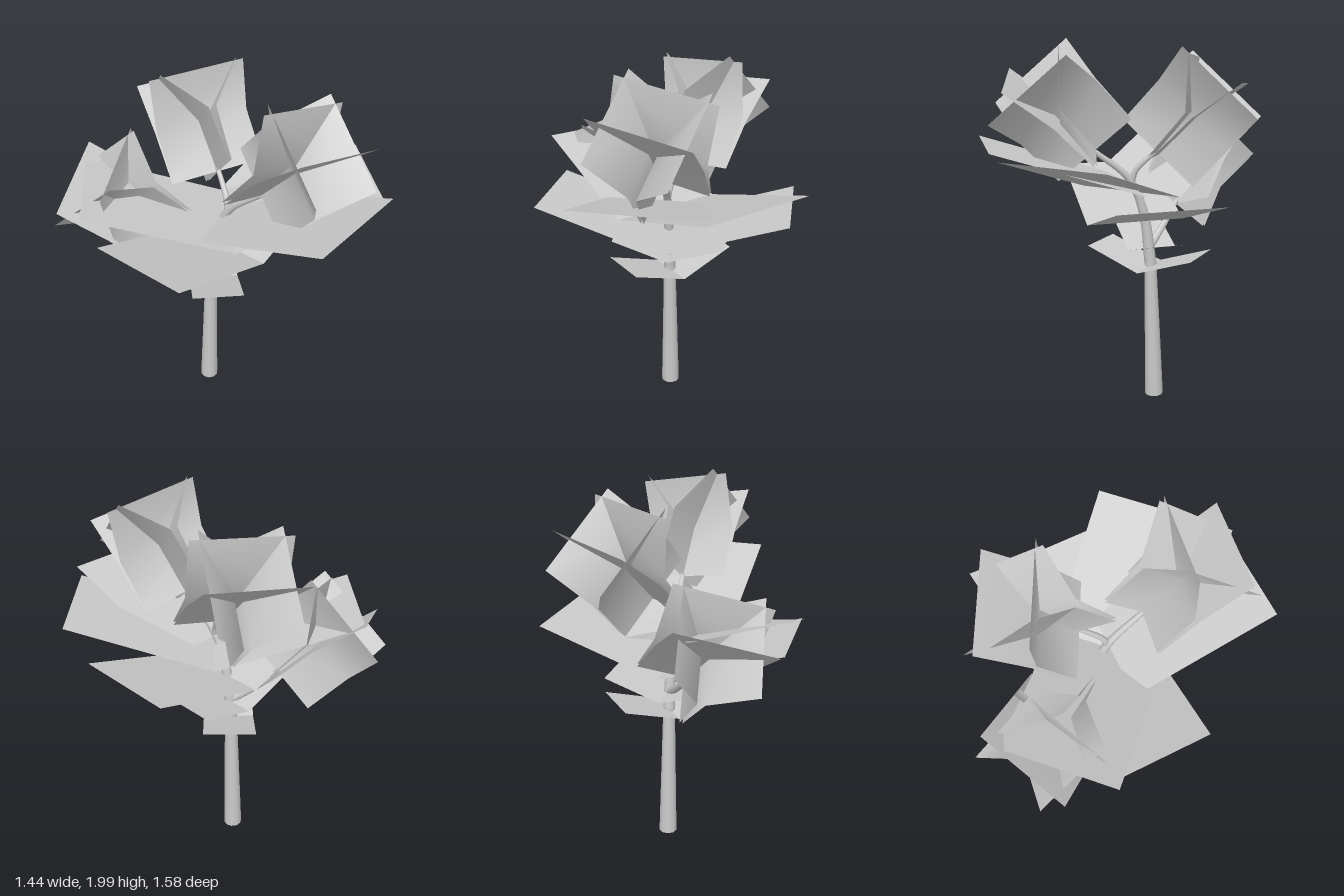
import * as THREE from 'three';

const V = (x, y, z) => new THREE.Vector3(x, y, z);
const mat = new THREE.MeshStandardMaterial({ color: 0xcccccc, side: THREE.DoubleSide });

function addMesh(parent, name, geometry) {
  const mesh = new THREE.Mesh(geometry, mat);
  mesh.name = name;
  parent.add(mesh);
  return mesh;
}

// Tube along a curve whose radius shrinks from r0 to r1
function taperedTube(points, r0, r1, segments = 20, sides = 10) {
  const curve = new THREE.CatmullRomCurve3(points);
  const geo = new THREE.TubeGeometry(curve, segments, 1, sides);
  const pos = geo.attributes.position;
  const p = V();
  for (let i = 0; i <= segments; i++) {
    const t = i / segments;
    const centre = curve.getPointAt(t);
    for (let j = 0; j <= sides; j++) {
      const k = i * (sides + 1) + j;
      p.fromBufferAttribute(pos, k).sub(centre);
      p.multiplyScalar(r0 + (r1 - r0) * t).add(centre);
      pos.setXYZ(k, p.x, p.y, p.z);
    }
  }
  return geo;
}

// Flat leaf card running outward along +x from the stem and rising to its tip
function leafCard(length, width, rise) {
  const geo = new THREE.PlaneGeometry(length, width);
  geo.rotateX(-Math.PI / 2).translate(length / 2, 0, 0);
  const pos = geo.attributes.position;
  for (let i = 0; i < pos.count; i++) pos.setY(i, rise * pos.getX(i) / length);
  geo.computeVertexNormals();
  return geo;
}

// Petal card: straight lower half, upper half bent outward along +z by "out"
function petalCard(width, length, out) {
  const geo = new THREE.PlaneGeometry(width, length, 1, 2);
  const pos = geo.attributes.position;
  const tip = Math.sqrt((length / 2) ** 2 - out ** 2) + 0.02;
  for (let i = 0; i < pos.count; i++) {
    const y = pos.getY(i);
    if (y > 0.01) {
      pos.setY(i, tip);
      pos.setZ(i, out);
    } else pos.setZ(i, y < -0.01 ? 0.008 : 0.02);
  }
  geo.computeVertexNormals();
  return geo;
}

// Four petals around an axis, the first one more closed than the others;
// side sets the direction of that petal's width
function flower(centre, axis, side) {
  const group = new THREE.Group();
  const y = axis.clone().normalize();
  const x = side.clone().addScaledVector(y, -side.dot(y)).normalize();
  const z = V().crossVectors(x, y);
  group.quaternion.setFromRotationMatrix(new THREE.Matrix4().makeBasis(x, y, z));
  group.position.copy(centre);
  [0.08, 0.2, 0.2, 0.2].forEach((out, i) => {
    addMesh(group, 'petal', petalCard(0.5, 0.55, out)).rotation.y = i * Math.PI / 2;
  });
  return group;
}

export function createModel() {
  const model = new THREE.Group();
  model.name = 'floweringPlant';

  // Stem leaning forward, with two side branches
  addMesh(model, 'stem', taperedTube([V(-0.013, 0, -0.085), V(-0.013, 0.4, -0.073),
    V(-0.013, 0.8, -0.06)], 0.052, 0.033));
  addMesh(model, 'upperStem', taperedTube([V(-0.013, 0.8, -0.06), V(-0.012, 1.08, -0.02),
    V(-0.005, 1.27, 0.06), V(0.01, 1.43, 0.25)], 0.033, 0.014));
  addMesh(model, 'rearBranch', taperedTube([V(-0.005, 1.25, 0.05), V(0.01, 1.32, 0.03),
    V(0.07, 1.44, -0.08)], 0.018, 0.012, 10, 8));
  addMesh(model, 'lowBranch', taperedTube([V(-0.013, 0.88, -0.05), V(-0.07, 0.94, -0.12),
    V(-0.14, 1.03, -0.21), V(-0.165, 1.1, -0.26)], 0.024, 0.014, 12, 8));

  // Leaf tiers: height, z, length, width, rise, directions in degrees (0 = +x, 90 = -z)
  const tiers = [
    [0.775, -0.05, 0.31, 0.27, 0.11, [45, 225]],
    [0.88, -0.065, 0.305, 0.27, 0.1, [0, 180]],
    [1.035, 0.025, 0.64, 0.535, 0.215, [0, 180]],
    [1.205, 0.055, 0.72, 0.59, 0.245, [135, 315]],
    [1.24, 0.055, 0.75, 0.605, 0.25, [270]],
  ];
  for (const [y, z, length, width, rise, turns] of tiers) {
    const geo = leafCard(length, width, rise);
    for (const turn of turns) {
      const leaf = addMesh(model, 'leaf', geo);
      leaf.position.set(-0.005, y, z);
      leaf.rotation.y = THREE.MathUtils.degToRad(turn);
    }
  }

  // Flower heads at the ends of the stem and branches
  const heads = [
    ['frontFlower', V(0.01, 1.64, 0.435), V(0, 0.74, 0.67), V(0.96, -0.17, 0.19)],
    ['rearFlower', V(0.14, 1.62, -0.245), V(0.26, 0.74, -0.62), V(-0.88, -0.07, -0.47)],
    ['lowFlower', V(-0.3, 1.28, -0.395), V(-0.5, 0.7, -0.51), V(-0.86, -0.25, 0.38)],
  ];
  for (const [name, centre, axis, side] of heads) {
    const head = flower(centre, axis, side);
    head.name = name;
    model.add(head);
  }
  return model;
}
